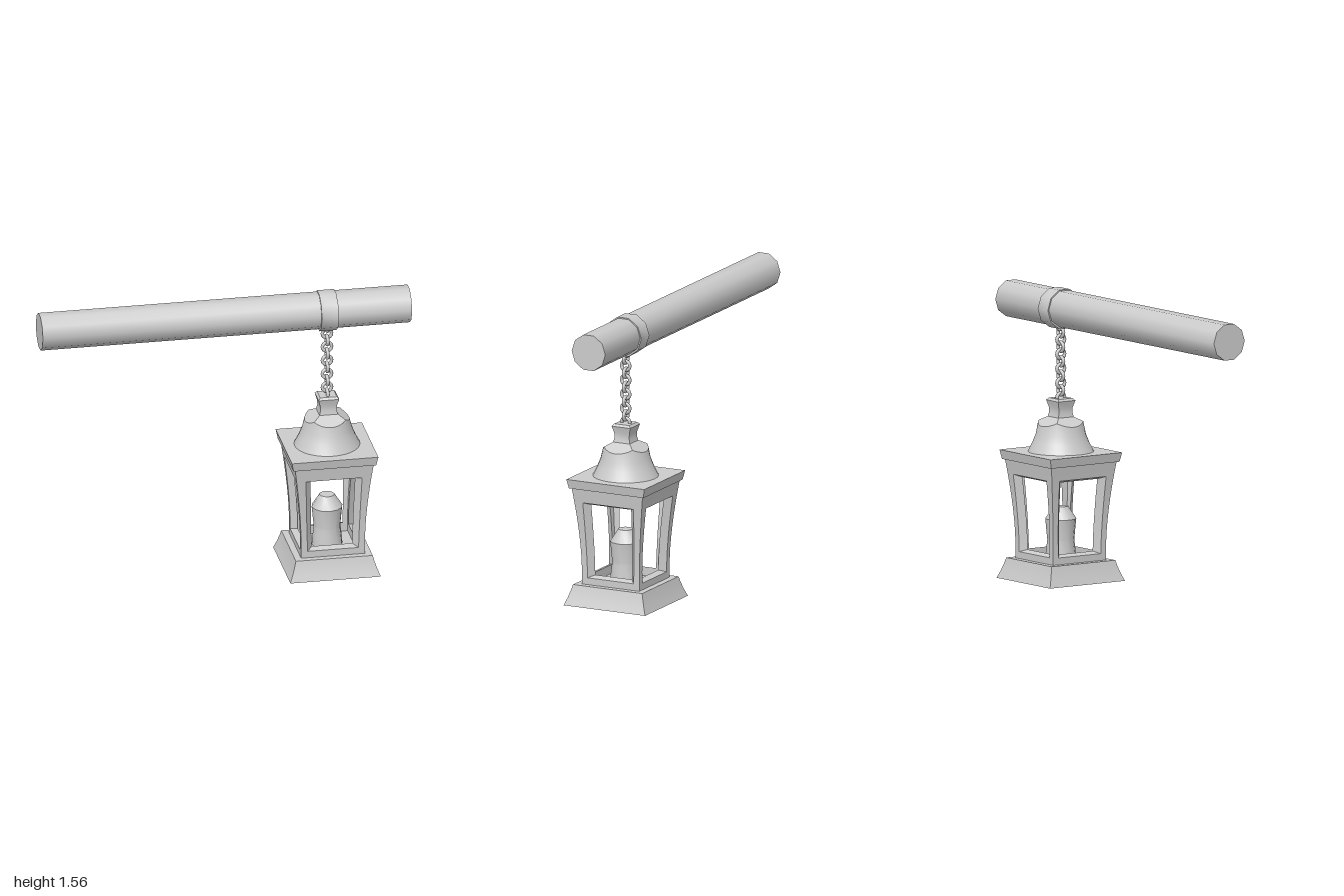
import * as THREE from 'three';
import { toCreasedNormals } from 'three/addons/utils/BufferGeometryUtils.js';

const CX = 0.556; // x of the hanging lantern
const lerp = THREE.MathUtils.lerp;

// Turned profile of [radius, y] pairs; four sides give a square section with that half-width
function turned(profile, sides) {
  const k = sides === 4 ? Math.SQRT2 : 1;
  const pts = profile.map(([r, y]) => new THREE.Vector2(r * k, y));
  return new THREE.LatheGeometry(pts, sides, sides === 4 ? Math.PI / 4 : 0);
}

// Round bell whose shoulder is cut by a four-sided pyramid rising to the square neck
function domeGeometry() {
  const profile = [[0.176, 0.69], [0.151, 0.74], [0.133, 0.785], [0.121, 0.832], [0.05, 0.876]];
  const geo = turned(profile, 32);
  const pos = geo.attributes.position;
  const n = profile.length;
  for (let v = 0; v < pos.count; v++) {
    const phi = (Math.floor(v / n) / 32) * Math.PI * 2;
    const c = Math.max(Math.abs(Math.sin(phi)), Math.abs(Math.cos(phi)));
    if (v % n === n - 2) pos.setY(v, 0.876 - ((0.121 * c - 0.05) / 0.071) * 0.044);
    if (v % n === n - 1) {
      pos.setX(v, pos.getX(v) / c);
      pos.setZ(v, pos.getZ(v) / c);
    }
  }
  return geo;
}

// One flaring wall facing +z with a bevelled window opening
function wallGeometry() {
  const out = [];
  const quad = (a, b, c, d, flip = false) =>
    out.push(...(flip ? [a, c, b, a, d, c] : [a, b, c, a, c, d]).flat());
  const H = (y) => 0.173 + 0.04 * Math.pow(Math.max(0, (y - 0.2) / 0.44), 1.6);
  const I = (y) => H(y) - 0.035;
  const yOut = (t) => lerp(0.147, 0.564, t);
  const yIn = (t) => lerp(0.159, 0.55, t);
  const corner = (s, y) => [s * H(y), y, H(y)];
  const back = (s, y) => [s * I(y), y, I(y)];
  const outer = (s, t) => [s * lerp(0.138, 0.152, t), yOut(t), H(yOut(t))];
  const inner = (s, t) => [s * lerp(0.11, 0.12, t), yIn(t), I(yIn(t))];
  const rows = 7;
  for (const s of [1, -1]) {
    for (let i = 0; i < rows; i++) {
      const t = i / rows, u = (i + 1) / rows, f = s < 0;
      quad(outer(s, t), corner(s, yOut(t)), corner(s, yOut(u)), outer(s, u), f);
      quad(inner(s, t), outer(s, t), outer(s, u), inner(s, u), f);
      quad(back(s, yIn(t)), inner(s, t), inner(s, u), back(s, yIn(u)), f);
    }
  }
  // Rails below and above the opening, outside then inside
  for (const [a, b] of [[0.11, yOut(0)], [yOut(1), 0.602], [0.602, 0.64]])
    quad(corner(-1, a), corner(1, a), corner(1, b), corner(-1, b));
  for (const [a, b] of [[0.11, yIn(0)], [yIn(1), 0.64]])
    quad(back(-1, a), back(1, a), back(1, b), back(-1, b), true);
  // Bevelled sill and head
  quad(outer(-1, 0), outer(1, 0), inner(1, 0), inner(-1, 0));
  quad(outer(-1, 1), outer(1, 1), inner(1, 1), inner(-1, 1), true);
  const geo = new THREE.BufferGeometry();
  geo.setAttribute('position', new THREE.Float32BufferAttribute(out, 3));
  geo.computeVertexNormals();
  return geo;
}

export function createModel() {
  const model = new THREE.Group();
  model.name = 'hangingLantern';
  const grey = new THREE.MeshStandardMaterial({ color: 0xcccccc });
  grey.name = 'lightGrey';

  const add = (parent, name, geo, crease = 0.5) => {
    const mesh = new THREE.Mesh(crease ? toCreasedNormals(geo, crease) : geo, grey);
    mesh.name = name;
    parent.add(mesh);
    return mesh;
  };

  // Ten-sided beam and the collar around it
  const rod = (r, length) => new THREE.CylinderGeometry(r, r, length, 10).rotateZ(Math.PI / 2);
  add(model, 'beam', rod(0.101, 2), 0.8).position.set(0, 1.462, -0.01);
  add(model, 'collar', rod(0.11, 0.092), 0.8).position.set(CX, 1.46, -0.008);

  // Chain of links turned a quarter each time
  const chain = new THREE.Group();
  chain.name = 'chain';
  model.add(chain);
  const link = new THREE.TorusGeometry(0.025, 0.0095, 8, 14);
  for (let i = 0; i < 11; i++) {
    const ring = add(chain, 'chainLink', link, 0);
    ring.position.set(CX, 0.978 + i * 0.039, 0);
    if (i % 2 === 0) ring.rotation.y = Math.PI / 2;
  }

  // Lantern
  const lantern = new THREE.Group();
  lantern.name = 'lantern';
  lantern.position.x = CX;
  model.add(lantern);
  add(lantern, 'base', turned(
    [[0, 0], [0.245, 0], [0.229, 0.04], [0.216, 0.08], [0.208, 0.11], [0, 0.11]], 4));
  const wall = wallGeometry();
  for (let i = 0; i < 4; i++) add(lantern, 'windowWall', wall).rotation.y = (i * Math.PI) / 2;
  add(lantern, 'roofPlate', turned([[0, 0.64], [0.224, 0.64], [0.234, 0.69], [0, 0.69]], 4));
  add(lantern, 'roofDome', domeGeometry());
  add(lantern, 'neck', turned(
    [[0.05, 0.874], [0.044, 0.9], [0.045, 0.925], [0.056, 0.964], [0.045, 0.976], [0, 0.976]], 4));
  add(lantern, 'candle', turned(
    [[0, 0.11], [0.083, 0.11], [0.079, 0.16], [0.072, 0.215], [0.083, 0.328], [0.04, 0.395], [0, 0.395]], 12), 0.56);

  return model;
}
